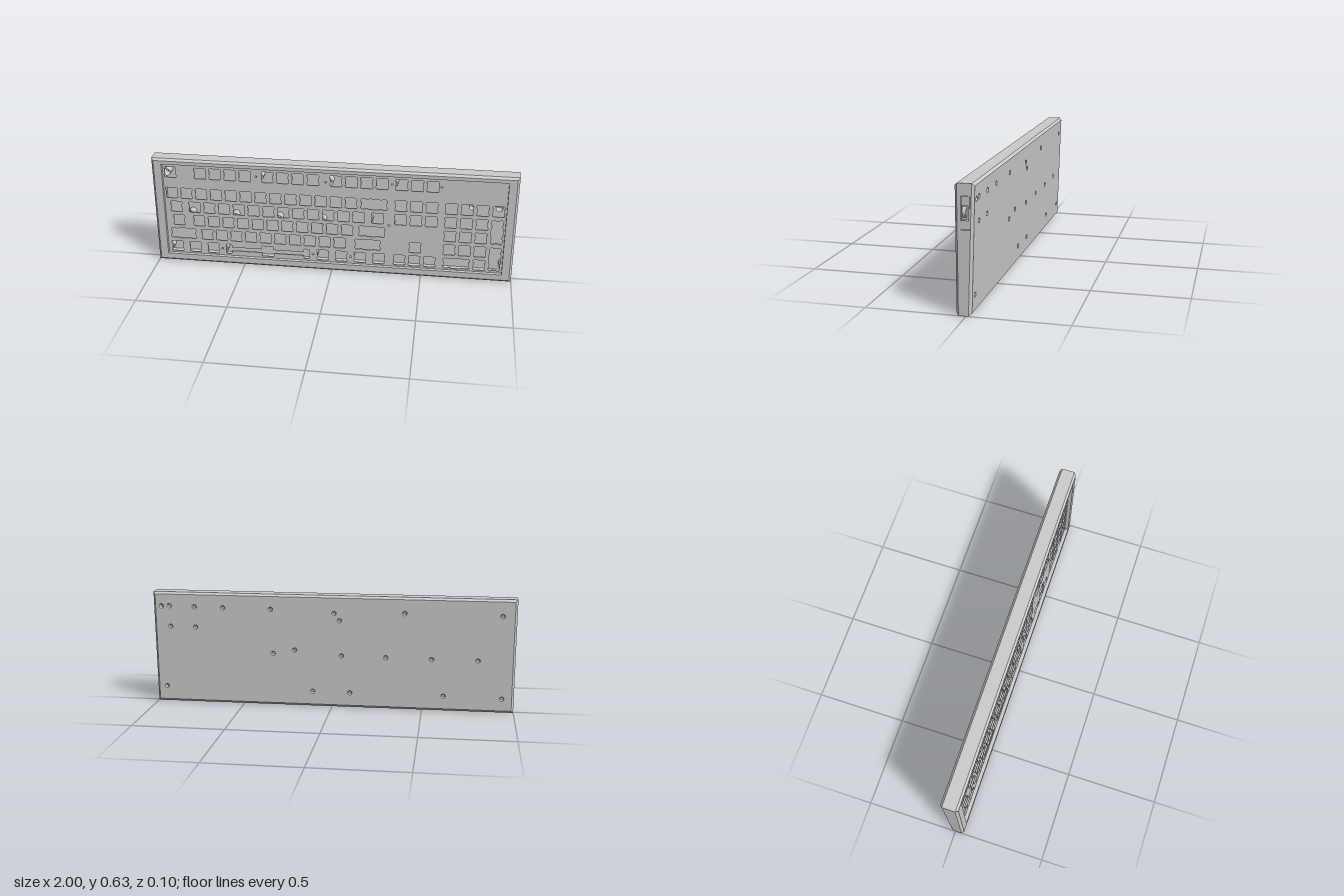
import * as THREE from 'three';

const U = 0.084, X0 = -0.945, PLATE_Z = 0.028, PLATE_T = 0.007;
const ROWS = [0.548, 0.422, 0.338, 0.254, 0.17, 0.086];
const backZ = y => -0.0266 - 0.0328 * y;       // sloping rear face
const backEdgeZ = y => -0.013 - 0.0347 * y;    // where the rear chamfer starts

const mat = new THREE.MeshStandardMaterial({ color: 0xcccccc, side: THREE.DoubleSide });
const flat = new THREE.MeshStandardMaterial({ color: 0xcccccc, side: THREE.DoubleSide, flatShading: true });

function add(parent, name, geometry, material = flat) {
  const mesh = new THREE.Mesh(geometry, material);
  mesh.name = name;
  parent.add(mesh);
  return mesh;
}

// Rectangular loop of four corners, anticlockwise from the front; z may depend on y
function rectLoop(hx, y0, y1, z) {
  const zf = typeof z === 'function' ? z : () => z;
  return [[-hx, y0], [hx, y0], [hx, y1], [-hx, y1]].map(([x, y]) => [x, y, zf(y)]);
}

// Flat faces between successive loops; skip(stage, side) leaves a face out
function loft(loops, skip = () => false) {
  const pos = [];
  for (let s = 0; s < loops.length - 1; s++) {
    for (let i = 0; i < 4; i++) {
      if (skip(s, i)) continue;
      const j = (i + 1) % 4, [a, b, c, d] = [loops[s][i], loops[s + 1][i], loops[s + 1][j], loops[s][j]];
      pos.push(...a, ...b, ...c, ...a, ...c, ...d);
    }
  }
  const g = new THREE.BufferGeometry();
  g.setAttribute('position', new THREE.Float32BufferAttribute(pos, 3));
  g.computeVertexNormals();
  return g;
}

const path = pts => new THREE.Path(pts.map(p => new THREE.Vector2(...p)));
const shape = pts => new THREE.Shape(pts.map(p => new THREE.Vector2(...p)));
const rect = (x0, y0, x1, y1) => [[x0, y0], [x1, y0], [x1, y1], [x0, y1]];
const circle = (x, y, r) => new THREE.Path().absarc(x, y, r, 0, Math.PI * 2, true);

// Mirror a quarter outline into a complete one
function mirror4(q) {
  const r = [...q].reverse();
  return [...q, ...r.map(([x, y]) => [-x, y]), ...q.map(([x, y]) => [-x, -y]), ...r.map(([x, y]) => [x, -y])];
}
const KEY = mirror4([[0.03, 0.014], [0.033, 0.018], [0.033, 0.028], [0.028, 0.032]]);
const WIDE = mirror4([[0.068, 0.01], [0.073, 0.015], [0.073, 0.025], [0.067, 0.031], [0.046, 0.031],
  [0.039, 0.027], [0.033, 0.027], [0.028, 0.032]]);
const TALL = WIDE.map(([x, y]) => [y, x]);
const SPACE = mirror4([[0.24, 0.024], [0.235, 0.03], [0.212, 0.03], [0.207, 0.024], [0.207, 0.011],
  [0.034, 0.011], [0.034, 0.028], [0.03, 0.032]]);

// All key openings as [outline, x, y]
function keyOpenings() {
  const out = [];
  const put = (outline, row, ...units) =>
    units.forEach(u => out.push([outline, X0 + u * U, ROWS[0] + (ROWS[Math.floor(row)] - ROWS[0]) - (row % 1) * U]));
  const run = (start, n) => Array.from({ length: n }, (_, i) => start + i);
  put(KEY, 0, 0.5, ...run(2.5, 4), ...run(7, 4), ...run(11.5, 4), ...run(15.75, 3));
  put(KEY, 1, ...run(0.5, 13), ...run(15.75, 3), ...run(19, 4));
  put(KEY, 2, 0.75, ...run(2, 12), 14.25, ...run(15.75, 3), ...run(19, 3));
  put(KEY, 3, 0.875, ...run(2.25, 11), ...run(19, 3));
  put(KEY, 4, ...run(2.75, 10), 16.75, ...run(19, 3));
  put(KEY, 5, 0.625, 1.875, 3.125, 10.625, 11.875, 13.125, 14.375, ...run(15.75, 3), 21);
  put(WIDE, 1, 14);
  put(WIDE, 3, 13.875);
  put(WIDE, 4, 1.125, 13.625);
  put(WIDE, 5, 19.5);
  put(TALL, 2.5, 22);
  put(TALL, 4.5, 22);
  put(SPACE, 5, 6.875);
  return out;
}

const SCREWS = [
  [0.955, 0.554], [0.91, 0.557], [0.767, 0.554], [0.906, 0.44], [0.764, 0.438], [0.606, 0.552],
  [0.338, 0.55], [-0.014, 0.536], [-0.044, 0.496], [-0.4, 0.546], [-0.923, 0.543],
  [0.327, 0.3], [0.207, 0.323], [-0.055, 0.297], [-0.3, 0.295], [-0.549, 0.293], [-0.8, 0.293],
  [0.944, 0.09], [0.106, 0.088], [-0.101, 0.086], [-0.617, 0.086], [-0.934, 0.081],
];
const PLATE_HOLES = [[-0.42, 0.55], [-0.035, 0.54], [0.326, 0.55], [0.592, 0.55], [0.315, 0.3],
  [-0.63, 0.087], [-0.108, 0.087], [0.105, 0.087]];

export function createModel() {
  const model = new THREE.Group();
  model.name = 'keyboardCase';

  // Chamfered shell, from inner floor through the bezel to the rear edge
  const floorZ = y => backZ(y) + 0.012;
  const loops = [
    rectLoop(0.945, 0.045, 0.602, floorZ),
    rectLoop(0.945, 0.045, 0.602, 0.048),
    rectLoop(0.988, 0.012, 0.622, 0.048),
    rectLoop(1, 0, 0.634, 0.036),
    rectLoop(1, 0, 0.634, backEdgeZ),
    rectLoop(0.988, 0.013, 0.622, backZ),
  ];
  add(model, 'caseShell', loft(loops, (s, i) => s === 3 && i === 1));

  // Inner floor
  const floor = new THREE.PlaneGeometry(1.89, 0.557).translate(0, 0.3235, 0);
  bendZ(floor, floorZ);
  add(model, 'caseFloor', floor);

  // Rear face with screw openings
  const rear = shape(rect(-0.988, 0.013, 0.988, 0.622));
  SCREWS.forEach(([x, y]) => rear.holes.push(circle(x, y, 0.013)));
  const rearGeo = new THREE.ShapeGeometry(rear, 10);
  bendZ(rearGeo, backZ);
  add(model, 'rearPanel', rearGeo);

  // Countersunk screw holes and the posts around them
  const sink = new THREE.LatheGeometry(
    [[0.013, 0], [0.0075, 0.008], [0.0075, 0.026], [0, 0.026]].map(p => new THREE.Vector2(...p)), 20).rotateX(Math.PI / 2);
  for (const [x, y] of SCREWS) {
    add(model, 'screwHole', sink).position.set(x, y, backZ(y));
    const z0 = floorZ(y) - 0.004, z1 = PLATE_Z - PLATE_T;
    const post = new THREE.CylinderGeometry(0.02, 0.02, z1 - z0, 24, 1, true).rotateX(Math.PI / 2);
    add(model, 'screwPost', post, mat).position.set(x, y, (z0 + z1) / 2);
  }

  // Switch plate
  const plate = shape(rect(-0.945, 0.045, 0.945, 0.602));
  for (const [outline, cx, cy] of keyOpenings()) plate.holes.push(path(outline.map(([x, y]) => [cx + x, cy + y])));
  PLATE_HOLES.forEach(([x, y]) => plate.holes.push(circle(x, y, 0.006)));
  const plateGeo = new THREE.ExtrudeGeometry(plate, { depth: PLATE_T, bevelEnabled: false, curveSegments: 8 });
  add(model, 'switchPlate', plateGeo).position.z = PLATE_Z - PLATE_T;

  // Left-hand side wall with an insert; shapes are drawn in (-z, y)
  const side = shape([[-0.036, 0], [-backEdgeZ(0), 0], [-backEdgeZ(0.634), 0.634], [-0.036, 0.634]]);
  side.holes.push(path(rect(-0.018, 0.415, 0.0265, 0.575)));
  add(model, 'sideWall', new THREE.ShapeGeometry(side).rotateY(Math.PI / 2)).position.x = 1;

  const insert = shape(rect(-0.0165, 0.417, 0.025, 0.573));
  insert.holes.push(path(rect(-0.014, 0.46, 0.019, 0.53)));
  const insertGeo = new THREE.ExtrudeGeometry(insert, { depth: 0.025, bevelEnabled: false });
  add(model, 'sideInsert', insertGeo.rotateY(Math.PI / 2)).position.x = 0.974;
  add(model, 'insertBacking', new THREE.BoxGeometry(0.004, 0.164, 0.05)).position.set(0.974, 0.495, -0.004);

  // Thumb wheel
  const wheel = new THREE.CylinderGeometry(0.027, 0.027, 0.018, 32).rotateX(Math.PI / 2);
  add(model, 'thumbWheel', wheel, mat).position.set(0.97, 0.495, 0.004);

  return model;
}

// Place every vertex at a depth set by its height
function bendZ(g, f) {
  const p = g.attributes.position;
  for (let i = 0; i < p.count; i++) p.setZ(i, f(p.getY(i)));
  g.computeVertexNormals();
}
